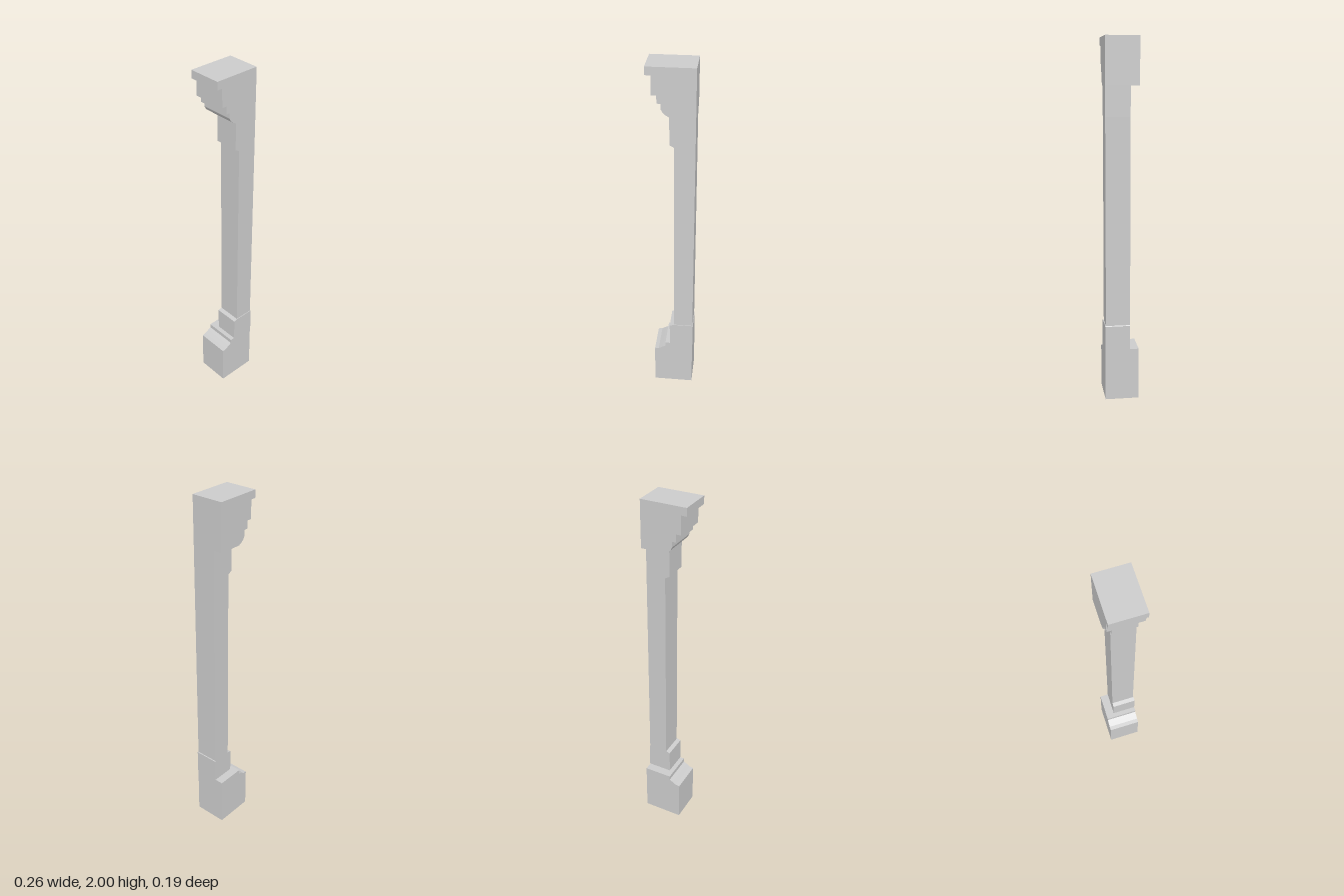
import * as THREE from 'three';

const material = new THREE.MeshStandardMaterial({ color: 0xcccccc, flatShading: true });

// Extrude an x-y outline between two z planes
function slab(name, points, zBack, zFront) {
  const shape = new THREE.Shape(points.map(([x, y]) => new THREE.Vector2(x, y)));
  const geometry = new THREE.ExtrudeGeometry(shape, { depth: zFront - zBack, bevelEnabled: false });
  geometry.translate(0, 0, zBack);
  const mesh = new THREE.Mesh(geometry, material);
  mesh.name = name;
  return mesh;
}

export function createModel() {
  const group = new THREE.Group();
  group.name = 'pilaster';
  const right = 0.124, back = -0.094, shaftBack = -0.045, front = 0.09;

  // Plinth with a swept shoulder and a small step
  group.add(slab('plinth', [
    [-0.1, 0], [right, 0], [right, 0.293], [-0.036, 0.293], [-0.036, 0.268],
    [-0.055, 0.258], [-0.077, 0.245], [-0.1, 0.241],
  ], back, 0.093));

  // Collar above the plinth, with a sloped top
  group.add(slab('lowerCollar', [
    [-0.01, 0.293], [0.126, 0.293], [0.126, 0.43], [0.122, 0.434], [0.014, 0.434], [-0.01, 0.428],
  ], shaftBack, 0.094));

  // Plain shaft
  group.add(slab('shaft', [
    [0.014, 0.434], [0.123, 0.434], [0.123, 1.582], [0.014, 1.582],
  ], shaftBack, front));

  // Neck under the capital, with a sloped underside
  group.add(slab('neck', [
    [0.014, 1.582], [0.123, 1.582], [0.123, 1.745], [-0.01, 1.745], [-0.01, 1.595],
  ], shaftBack, front));

  // Stepped capital
  group.add(slab('capital', [
    [-0.01, 1.745], [0.123, 1.745], [0.123, 2], [-0.13, 2], [-0.13, 1.957], [-0.1, 1.957],
    [-0.1, 1.857], [-0.073, 1.857], [-0.073, 1.815], [-0.052, 1.815], [-0.052, 1.785],
    [-0.043, 1.768], [-0.028, 1.755],
  ], back, front));

  return group;
}
